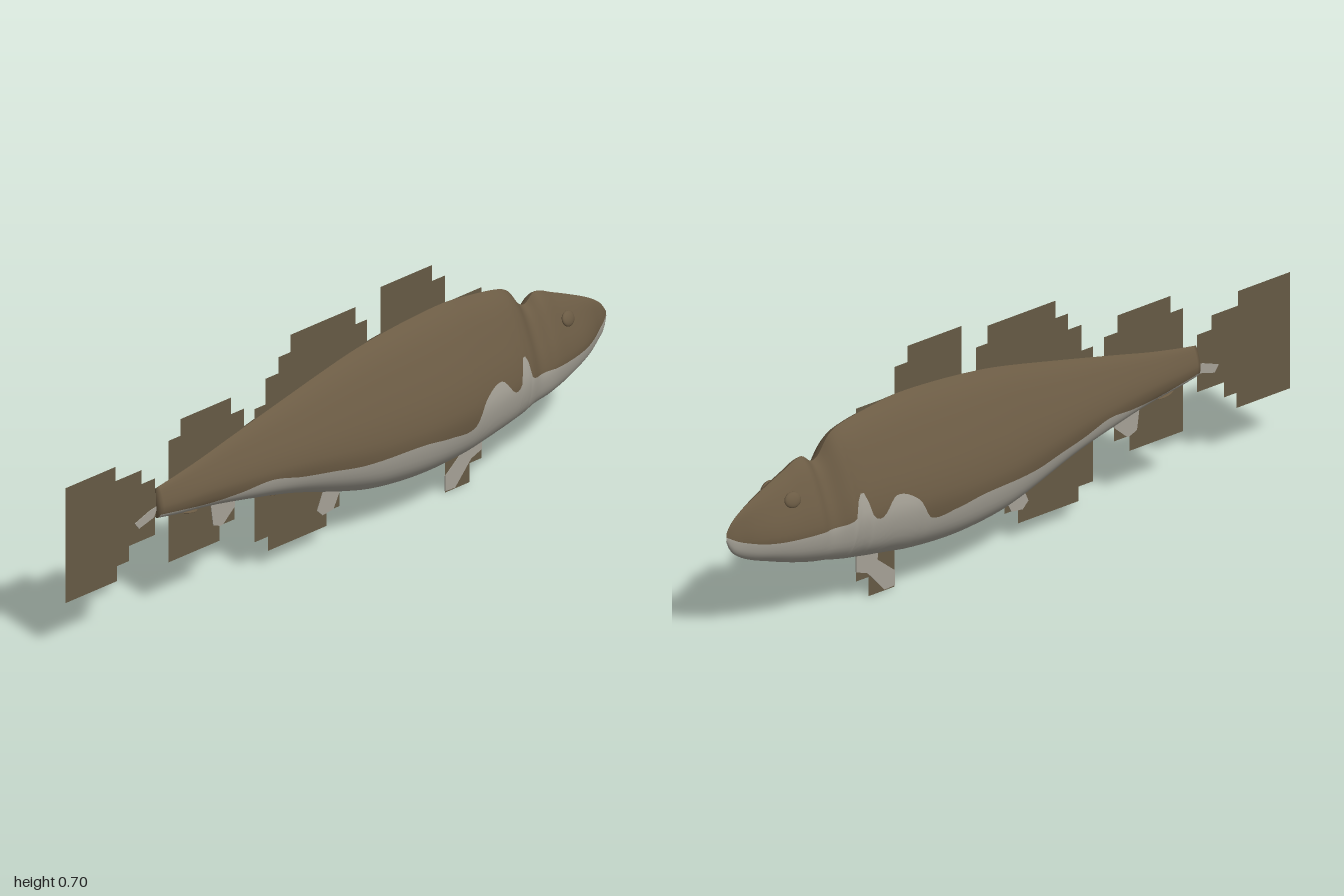
import * as THREE from 'three';

const mat = (name, color, side = THREE.FrontSide) => {
  const m = new THREE.MeshStandardMaterial({ color, side });
  m.name = name;
  return m;
};

// Body stations: x, top, bottom, half width
const STATIONS = [
  [-0.665, 0.385, 0.295, 0.02], [-0.6, 0.396, 0.284, 0.028], [-0.5, 0.416, 0.272, 0.041],
  [-0.4, 0.44, 0.255, 0.056], [-0.2, 0.487, 0.212, 0.088], [0, 0.532, 0.15, 0.118],
  [0.1, 0.55, 0.126, 0.13], [0.25, 0.566, 0.113, 0.14], [0.4, 0.572, 0.12, 0.139],
  [0.5, 0.561, 0.135, 0.13], [0.6, 0.543, 0.151, 0.115], [0.64, 0.522, 0.158, 0.104],
  [0.675, 0.475, 0.167, 0.09], [0.7, 0.465, 0.172, 0.088], [0.735, 0.49, 0.18, 0.094],
  [0.8, 0.465, 0.198, 0.082], [0.87, 0.434, 0.222, 0.063], [0.92, 0.41, 0.24, 0.042],
  [0.96, 0.386, 0.262, 0.021], [0.985, 0.364, 0.285, 0.011], [1, 0.34, 0.318, 0.002],
];

// Height of the wavy edge between back and belly: x, y
const EDGE = [
  [-0.665, 0.31], [-0.6, 0.303], [-0.5, 0.293], [-0.4, 0.297], [-0.3, 0.308], [-0.2, 0.288],
  [-0.1, 0.275], [0, 0.262], [0.2, 0.262], [0.3, 0.25], [0.39, 0.25], [0.43, 0.315],
  [0.5, 0.345], [0.55, 0.295], [0.58, 0.31], [0.595, 0.37], [0.615, 0.365], [0.63, 0.305],
  [0.75, 0.295], [0.88, 0.295], [0.96, 0.31], [1, 0.33],
];

// Half cross-section: (drop from the top, width), both 0 to 1
const SECTION = new THREE.SplineCurve([
  [0, 0], [0.05, 0.22], [0.16, 0.47], [0.375, 0.8], [0.53, 0.96], [0.65, 1],
  [0.8, 0.9], [0.9, 0.69], [0.97, 0.38], [1, 0],
].map(p => new THREE.Vector2(...p)));

// Cubic interpolation of column c in a table sorted by x
function sample(table, x, c) {
  const last = table.length - 1;
  let i = 0;
  while (i < last - 1 && x > table[i + 1][0]) i++;
  const slope = k => {
    const a = table[Math.max(k - 1, 0)], b = table[Math.min(k + 1, last)];
    return (b[c] - a[c]) / (b[0] - a[0]);
  };
  const [p, q] = [table[i], table[i + 1]];
  const h = q[0] - p[0], s = (x - p[0]) / h, s2 = s * s, s3 = s2 * s;
  return p[c] * (2 * s3 - 3 * s2 + 1) + q[c] * (3 * s2 - 2 * s3)
    + h * (slope(i) * (s3 - 2 * s2 + s) + slope(i + 1) * (s3 - s2));
}

// Curve parameter where the section has dropped by t
function paramAtDrop(t) {
  let lo = 0, hi = 1;
  for (let k = 0; k < 22; k++) {
    const mid = (lo + hi) / 2;
    if (SECTION.getPoint(mid).x < t) lo = mid; else hi = mid;
  }
  return lo;
}

// Lofted body; one row of vertices follows the colour edge
function bodyGeometry() {
  const N = 170, K = 14, L = 12, H = K + L, W = 2 * H + 1;
  const pos = [], back = [], belly = [];
  for (let i = -1; i <= N; i++) {
    const x = -0.665 + 1.665 * Math.max(i, 0) / N;
    const [top, bot, hw] = [1, 2, 3].map(c => sample(STATIONS, x, c));
    const drop = (top - sample(EDGE, x, 1)) / (top - bot);
    const ub = paramAtDrop(THREE.MathUtils.clamp(drop, 0.15, 0.97));
    for (let j = 0; j < W; j++) {
      const k = j <= H ? j : 2 * H - j;
      const u = k <= K ? ub * k / K : ub + (1 - ub) * (k - K) / L;
      const p = SECTION.getPoint(u);
      if (i < 0) pos.push(x, (top + bot) / 2, 0); // closes the tail end
      else pos.push(x, top - (top - bot) * p.x, (j <= H ? 1 : -1) * hw * p.y);
    }
  }
  for (let i = 0; i <= N; i++) {
    for (let j = 0; j < W - 1; j++) {
      const a = i * W + j, c = a + W;
      const isBelly = i > 0 && j >= K && j < W - 1 - K;
      (isBelly ? belly : back).push(a, a + 1, c, a + 1, c + 1, c);
    }
  }
  const g = new THREE.BufferGeometry();
  g.setAttribute('position', new THREE.Float32BufferAttribute(pos, 3));
  g.setIndex([...back, ...belly]);
  g.addGroup(0, back.length, 0);
  g.addGroup(back.length, belly.length, 1);
  g.computeVertexNormals();
  return g;
}

export function createModel() {
  const model = new THREE.Group();
  model.name = 'fish';
  const brown = mat('back brown', 0x6b5b44);
  const pale = mat('belly grey', 0xa5a196);
  const finBrown = mat('fin brown', 0x665a45, THREE.DoubleSide);

  const add = (name, geometry, material) => {
    const m = new THREE.Mesh(geometry, material);
    m.name = name;
    model.add(m);
    return m;
  };
  const outline = pts => new THREE.Shape(pts.map(p => new THREE.Vector2(...p)));
  const fin = (name, pts) => add(name, new THREE.ShapeGeometry(outline(pts)), finBrown);
  const patch = (name, pts) => add(name,
    new THREE.ExtrudeGeometry(outline(pts), { depth: 0.004, bevelEnabled: false }).translate(0, 0, -0.002), pale);

  add('body', bodyGeometry(), [brown, pale]);

  // Eyes
  for (const s of [1, -1]) {
    const eye = add(s > 0 ? 'eyeFront' : 'eyeBack', new THREE.SphereGeometry(1, 20, 14), brown);
    eye.scale.set(0.025, 0.022, 0.01);
    eye.position.set(0.81, 0.402, s * 0.053);
    eye.rotation.set(-s * 0.35, s * 0.2, 0);
  }

  // Stepped fins, each running down into the body
  fin('tailFin', [[-1, 0.5], [-1, 0.155], [-0.81, 0.155], [-0.81, 0.2], [-0.765, 0.2], [-0.765, 0.245],
    [-0.67, 0.245], [-0.67, 0.3], [-0.64, 0.3], [-0.64, 0.37], [-0.67, 0.37], [-0.67, 0.415],
    [-0.72, 0.415], [-0.72, 0.457], [-0.815, 0.457], [-0.815, 0.5]]);
  fin('rearFins', [[-0.62, 0.51], [-0.62, 0.145], [-0.43, 0.145], [-0.43, 0.19], [-0.375, 0.19],
    [-0.375, 0.3], [-0.34, 0.3], [-0.34, 0.51], [-0.388, 0.51], [-0.388, 0.56], [-0.575, 0.56], [-0.575, 0.51]]);
  fin('middleFins', [[-0.3, 0.495], [-0.3, 0.095], [-0.25, 0.095], [-0.25, 0.052], [-0.035, 0.052],
    [-0.035, 0.095], [0.013, 0.095], [0.013, 0.3], [0.115, 0.3], [0.115, 0.62], [0.073, 0.62],
    [0.073, 0.672], [-0.168, 0.672], [-0.168, 0.62], [-0.212, 0.62], [-0.212, 0.572],
    [-0.26, 0.572], [-0.26, 0.495]]);
  fin('frontDorsalFin', [[0.165, 0.4], [0.54, 0.4], [0.54, 0.57], [0.404, 0.57], [0.404, 0.652],
    [0.357, 0.652], [0.357, 0.7], [0.165, 0.7]]);
  fin('pelvicFin', [[0.404, 0.2], [0.404, 0], [0.495, 0], [0.495, 0.057], [0.54, 0.057], [0.54, 0.2]]);

  // Pale markings on the fins
  patch('tailFinMark', [[-0.745, 0.305], [-0.73, 0.285], [-0.675, 0.3], [-0.66, 0.33], [-0.69, 0.325]]);
  patch('rearFinMark', [[-0.465, 0.27], [-0.455, 0.2], [-0.43, 0.19], [-0.42, 0.19], [-0.375, 0.23], [-0.375, 0.27]]);
  patch('middleFinMark', [[-0.04, 0.18], [-0.07, 0.11], [-0.05, 0.09], [-0.01, 0.095], [0.013, 0.14], [0.013, 0.18]]);
  patch('pelvicFinMark', [[0.46, 0.16], [0.465, 0.1], [0.404, 0.05], [0.404, 0.005], [0.44, 0.003],
    [0.5, 0.07], [0.54, 0.085], [0.54, 0.16]]);

  // Dark spots along the underside
  for (const [x, y] of [[0.22, 0.114], [-0.25, 0.226], [-0.55, 0.278]]) {
    const spot = add('bellySpot', new THREE.SphereGeometry(1, 16, 10), brown);
    spot.scale.set(0.035, 0.004, 0.02);
    spot.position.set(x, y, 0);
    spot.rotation.z = x < 0 ? -0.2 : 0;
  }
  return model;
}
